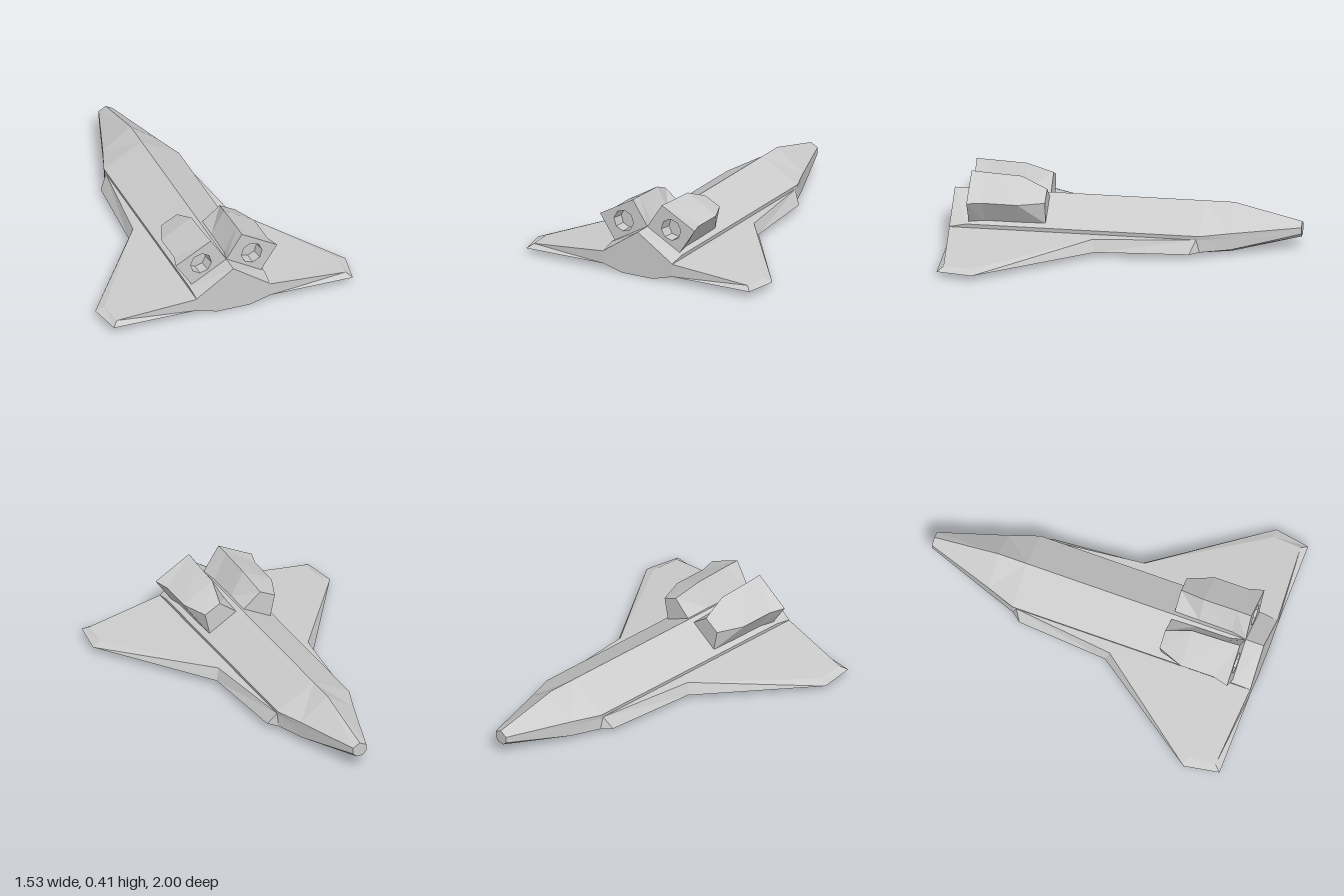
import * as THREE from 'three';

const material = new THREE.MeshStandardMaterial({ color: 0xcccccc, flatShading: true, side: THREE.DoubleSide });

// Flat triangles from convex polygons, each a list of [x, y, z]
function fromPolygons(polygons) {
  const pos = [];
  for (const p of polygons)
    for (let i = 1; i < p.length - 1; i++) pos.push(...p[0], ...p[i], ...p[i + 1]);
  const g = new THREE.BufferGeometry();
  g.setAttribute('position', new THREE.Float32BufferAttribute(pos, 3));
  g.computeVertexNormals();
  return g;
}

// Quads between consecutive cross-sections
function loft(sections, closed) {
  const faces = [];
  for (let s = 0; s < sections.length - 1; s++) {
    const a = sections[s], b = sections[s + 1], n = a.length;
    for (let i = 0; i < (closed ? n : n - 1); i++) {
      const j = (i + 1) % n;
      faces.push([a[i], a[j], b[j], b[i]]);
    }
  }
  return faces;
}

const section = (z, points) => points.map(([x, y]) => [x, y, z]);

// Mirror a geometry across x = 0, keeping faces outward
function mirrored(geometry) {
  const g = geometry.index ? geometry.toNonIndexed() : geometry.clone();
  const p = g.attributes.position;
  for (let i = 0; i < p.count; i += 3) {
    const v = [0, 2, 1].map(k => new THREE.Vector3().fromBufferAttribute(p, i + k));
    v.forEach((q, k) => p.setXYZ(i + k, -q.x, q.y, q.z));
  }
  g.computeVertexNormals();
  return g;
}

function addPair(group, name, geometry) {
  [['left', geometry], ['right', mirrored(geometry)]].forEach(([side, g]) => {
    const mesh = new THREE.Mesh(g, material);
    mesh.name = side + name;
    group.add(mesh);
  });
}

// Half of the faceted fuselage, tail to nose
function hullHalf() {
  const s = [
    section(1, [[0, 0.265], [0.225, 0.112], [0.225, 0.11], [0.225, 0.035], [0.1, 0], [0, 0]]),
    section(0.9, [[0, 0.265], [0.23, 0.134], [0.225, 0.11], [0.225, 0.035], [0.1, 0], [0, 0]]),
    section(-0.44, [[0, 0.265], [0.23, 0.134], [0.225, 0.11], [0.225, 0.035], [0.1, 0], [0, 0]]),
    section(-0.61, [[0, 0.265], [0.17, 0.138], [0.168, 0.11], [0.165, 0.037], [0.085, 0], [0, 0]]),
    section(-1, [[0, 0.17], [0.043, 0.146], [0.043, 0.14], [0.043, 0.108], [0.02, 0.085], [0, 0.085]]),
  ];
  return fromPolygons([...loft(s, false), [...s[0]].reverse(), s[4]]);
}

// Delta wing with a narrow strake and bevelled edges
function wing() {
  const top = [[0.225, 0.11, -0.42], [0.29, 0.105, 0.17], [0.71, 0.056, 0.8], [0.7, 0.058, 0.965], [0.225, 0.11, 1]];
  const root = [0.225, 0.035, -0.44];
  const bottom = [[0.27, 0.035, -0.385], [0.31, 0.035, 0.15], [0.765, 0.035, 0.795], [0.73, 0.035, 1], [0.225, 0.035, 1]];
  const [A, B, C, D, E] = top;
  const [a, b, c, d, e] = bottom;
  return fromPolygons([
    [E, D, C, B, A],
    [A, a, root],
    ...loft([top, bottom], false),
    [e, root, a], [e, a, b], [e, b, c], [e, c, d],
  ]);
}

// Engine pod resting on the sloping back
const podEnd = [[0, 0.265], [0.095, 0.41], [0.31, 0.29], [0.21, 0.14]];

function pod() {
  const s = [
    section(0.89, podEnd),
    section(0.8, [[0.02, 0.255], [0.098, 0.405], [0.285, 0.289], [0.197, 0.145]]),
    section(0.6, [[0.022, 0.255], [0.1, 0.395], [0.285, 0.287], [0.197, 0.145]]),
    section(0.45, [[0.025, 0.25], [0.13, 0.335], [0.225, 0.285], [0.195, 0.148]]),
  ];
  return fromPolygons([...loft(s, true), s[3]]);
}

// Counterclockwise octagon
function octagon(cx, cy, r) {
  return Array.from({ length: 8 }, (_, i) => {
    const t = (i * 45 + 5) * Math.PI / 180;
    return [cx + r * Math.cos(t), cy + r * Math.sin(t)];
  });
}
const rim = octagon(0.155, 0.272, 0.064);

// End plate pierced by the nozzle opening
function podPlate() {
  const toVec = pts => pts.map(([x, y]) => new THREE.Vector2(x, y));
  const shape = new THREE.Shape(toVec(podEnd));
  shape.holes.push(new THREE.Path(toVec(rim)));
  return new THREE.ShapeGeometry(shape).translate(0, 0, 0.89);
}

// Recessed nozzle well
function nozzle() {
  const outer = section(0.89, rim);
  const floor = section(0.81, octagon(0.156, 0.265, 0.06));
  return fromPolygons([...loft([outer, floor], true), floor]);
}

export function createModel() {
  const model = new THREE.Group();
  model.name = 'spaceplane';
  addPair(model, 'Fuselage', hullHalf());
  addPair(model, 'Wing', wing());
  addPair(model, 'EnginePod', pod());
  addPair(model, 'EngineEndPlate', podPlate());
  addPair(model, 'Nozzle', nozzle());
  return model;
}
